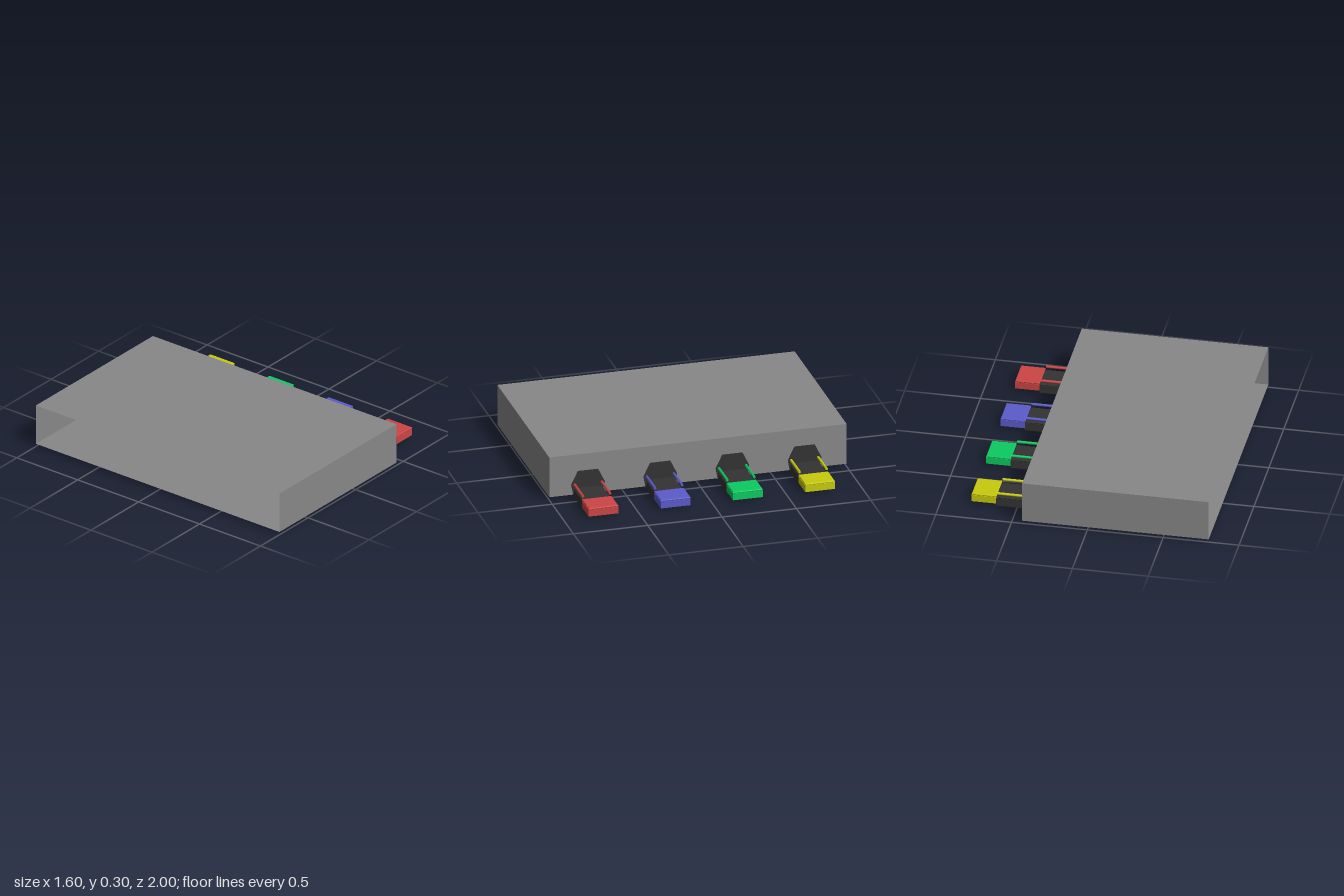
import * as THREE from 'three';

const makeMaterial = (name, color) => {
  const m = new THREE.MeshStandardMaterial({ color });
  m.name = name;
  return m;
};

function addMesh(parent, name, geometry, material) {
  const mesh = new THREE.Mesh(geometry, material);
  mesh.name = name;
  parent.add(mesh);
  return mesh;
}

function rectangle(path, x0, x1, h) {
  path.moveTo(x0, -h);
  path.lineTo(x1, -h);
  path.lineTo(x1, h);
  path.lineTo(x0, h);
  path.closePath();
  return path;
}

// Hollow cover, open at the bottom: a rim of four walls under a lid with softened edges
function addCover(parent, name, x0, x1, y0, y1, half, wall, material) {
  const cover = new THREE.Group();
  cover.name = name;
  const bevel = 0.006;
  const lidBase = y1 - 0.012;
  const rim = rectangle(new THREE.Shape(), x0, x1, half);
  rim.holes.push(rectangle(new THREE.Path(), x0 + wall, x1 - wall, half - wall));
  const walls = new THREE.ExtrudeGeometry(rim, { depth: lidBase - y0, bevelEnabled: false });
  addMesh(cover, name + 'Walls', walls.rotateX(-Math.PI / 2).translate(0, y0, 0), material);
  const lidShape = rectangle(new THREE.Shape(), x0 + bevel, x1 - bevel, half - bevel);
  const lid = new THREE.ExtrudeGeometry(lidShape, {
    depth: 0.002, bevelThickness: 0.005, bevelSize: bevel, bevelSegments: 2,
  });
  addMesh(cover, name + 'Lid', lid.rotateX(-Math.PI / 2).translate(0, lidBase + 0.005, 0), material);
  parent.add(cover);
}

export function createModel() {
  const model = new THREE.Group();
  model.name = 'connectorBox';

  const grey = makeMaterial('caseGrey', 0x888888);
  grey.side = THREE.DoubleSide;
  const black = makeMaterial('socketBlack', 0x333333);
  const accents = [
    makeMaterial('red', 0xcc4545),
    makeMaterial('blue', 0x5b5bcb),
    makeMaterial('green', 0x0cca60),
    makeMaterial('yellow', 0xc8cb0c),
  ];

  // Thin-walled case with its -x side left open
  const shell = new THREE.BoxGeometry(1.23, 0.28, 2);
  const faces = Array.from(shell.index.array);
  faces.splice(6, 6);
  shell.setIndex(faces);
  shell.clearGroups();
  addMesh(model, 'case', shell.translate(-0.185, 0.16, 0), grey);

  // Six-sided collar profile, in z and y
  const profile = [
    [-0.1, 0.022], [0.1, 0.022], [0.113, 0.09], [0.068, 0.183], [-0.068, 0.183], [-0.113, 0.09],
  ].map(([z, y]) => new THREE.Vector2(z, y));

  accents.forEach((accent, i) => {
    const unit = new THREE.Group();
    unit.name = accent.name + 'Connector';
    unit.position.z = 0.74 - i * 0.4855;
    model.add(unit);

    // Collar running through the case wall
    const collar = new THREE.ExtrudeGeometry(new THREE.Shape(profile), {
      depth: 0.2, bevelEnabled: false,
    });
    addMesh(unit, 'collar', collar.rotateY(Math.PI / 2).translate(0.233, 0, 0), black);

    // Black body passing under the case floor, and the coloured cap at its end
    addCover(unit, 'body', 0.222, 0.638, 0, 0.066, 0.094, 0.01, black);
    addCover(unit, 'cap', 0.638, 0.799, 0.018, 0.076, 0.1, 0.008, accent);

    // Pair of rods above the long edges of the body
    for (const side of [-1, 1]) {
      const rod = new THREE.CylinderGeometry(0.009, 0.009, 0.215, 12);
      rod.rotateZ(Math.PI / 2).translate(0.525, 0.09, side * 0.091);
      addMesh(unit, side > 0 ? 'frontRod' : 'backRod', rod, accent);
    }
  });

  return model;
}
